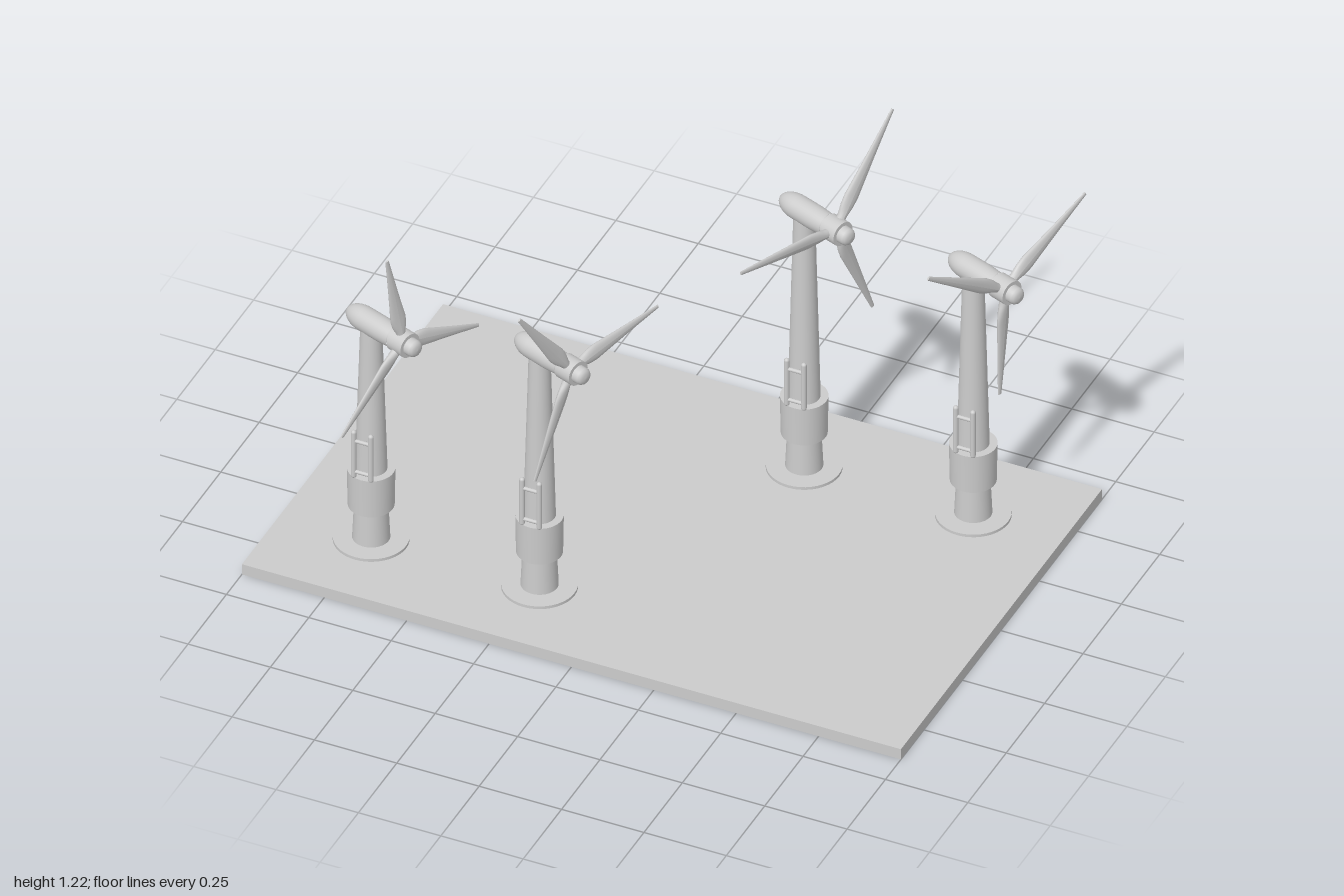
import * as THREE from 'three';

const grey = new THREE.MeshStandardMaterial({ color: 0xcccccc });
const rad = THREE.MathUtils.degToRad;
const DECK = 0.035;

function add(parent, name, geometry, x = 0, y = 0, z = 0) {
  const mesh = new THREE.Mesh(geometry, grey);
  mesh.name = name;
  mesh.position.set(x, y, z);
  parent.add(mesh);
  return mesh;
}

// Vertical tapered cylinder between two heights
function drum(parent, name, rBottom, rTop, y0, y1) {
  return add(parent, name, new THREE.CylinderGeometry(rTop, rBottom, y1 - y0, 40), 0, (y0 + y1) / 2);
}

// Linear interpolation through [t, value] keys
function ramp(keys, t) {
  for (let i = 1; i < keys.length; i++) {
    const [t0, a] = keys[i - 1], [t1, b] = keys[i];
    if (t <= t1) return THREE.MathUtils.lerp(a, b, (t - t0) / (t1 - t0));
  }
  return keys[keys.length - 1][1];
}

// Blade along +y: round root, wide shoulder, slender twisted tip
const CHORD = [[0, 0.013], [0.12, 0.014], [0.2, 0.022], [0.28, 0.025], [0.6, 0.016], [1, 0.006]];
const THICK = [[0, 0.013], [0.12, 0.013], [0.3, 0.01], [1, 0.003]];
function bladeGeometry(length) {
  const geo = new THREE.CylinderGeometry(1, 1, 1, 16, 25);
  const p = geo.attributes.position;
  for (let i = 0; i < p.count; i++) {
    const t = p.getY(i) + 0.5;
    const x = p.getX(i) * ramp(CHORD, t), z = p.getZ(i) * ramp(THICK, t);
    const twist = rad(14) * (1 - t);
    p.setXYZ(i,
      x * Math.cos(twist) - z * Math.sin(twist),
      t * length,
      x * Math.sin(twist) + z * Math.cos(twist));
  }
  geo.computeVertexNormals();
  return geo;
}

// Surface of revolution about +z from [z, radius] pairs
function turned(pairs) {
  return new THREE.LatheGeometry(pairs.map(([z, r]) => new THREE.Vector2(r, z)), 32).rotateX(Math.PI / 2);
}

function nacelleGeometry() {
  const pts = [];
  // rounded tail
  for (let i = 0; i <= 10; i++) {
    const a = (i / 10) * Math.PI / 2;
    pts.push([-0.025 - 0.065 * Math.cos(a), 0.036 * Math.sin(a)]);
  }
  pts.push([0.045, 0.036], [0.09, 0.033]);
  return turned(pts);
}

function createTurbine(x, z, hubY, bladeAngle) {
  const turbine = new THREE.Group();
  turbine.name = 'turbine';
  turbine.position.set(x, 0, z);

  // Foundation and tower
  drum(turbine, 'baseFlange', 0.106, 0.106, DECK, 0.044);
  drum(turbine, 'pile', 0.053, 0.047, 0.04, 0.17);
  drum(turbine, 'sleeve', 0.065, 0.067, 0.157, 0.282);
  drum(turbine, 'tower', 0.046, 0.03, 0.25, hubY);

  // Ladder standing on the front of the sleeve
  const ladder = new THREE.Group();
  ladder.name = 'ladder';
  ladder.position.set(0, 0, 0.058);
  turbine.add(ladder);
  for (const side of [-1, 1]) {
    add(ladder, 'ladderRail', new THREE.CapsuleGeometry(0.008, 0.146, 6, 12), side * 0.026, 0.359);
  }
  for (const y of [0.3, 0.405]) {
    add(ladder, 'ladderRung', new THREE.CylinderGeometry(0.006, 0.006, 0.052, 10).rotateZ(Math.PI / 2), 0, y);
  }

  // Head: local +z points along the rotor axis
  const head = new THREE.Group();
  head.name = 'head';
  head.position.y = hubY;
  head.rotation.y = rad(70);
  turbine.add(head);
  add(head, 'nacelle', nacelleGeometry());
  add(head, 'rotorShaft', new THREE.CylinderGeometry(0.026, 0.026, 0.04, 24).rotateX(Math.PI / 2), 0, 0, 0.09);
  add(head, 'hub', new THREE.CylinderGeometry(0.037, 0.037, 0.055, 32).rotateX(Math.PI / 2), 0, 0, 0.123);
  add(head, 'hubNose', turned([[0.145, 0.026], [0.17, 0.025], [0.177, 0.021], [0.181, 0.012], [0.182, 0]]));

  const rotor = new THREE.Group();
  rotor.name = 'rotor';
  rotor.position.z = 0.121;
  head.add(rotor);
  const geometry = bladeGeometry(0.42 * (hubY - DECK));
  for (let i = 0; i < 3; i++) {
    add(rotor, 'blade', geometry).rotation.z = rad(bladeAngle - 90 + i * 120);
  }
  return turbine;
}

export function createModel() {
  const model = new THREE.Group();
  model.name = 'windFarm';
  add(model, 'basePlate', new THREE.BoxGeometry(2, DECK, 1.31), 0, DECK / 2, -0.006);

  // x, z, hub height, angle of the first blade in degrees
  const sites = [
    [-0.727, 0.393, 0.78, 101],
    [-0.216, 0.393, 0.847, 6],
    [0.214, -0.408, 0.917, 53],
    [0.727, -0.408, 0.877, 27],
  ];
  for (const site of sites) model.add(createTurbine(...site));
  return model;
}
